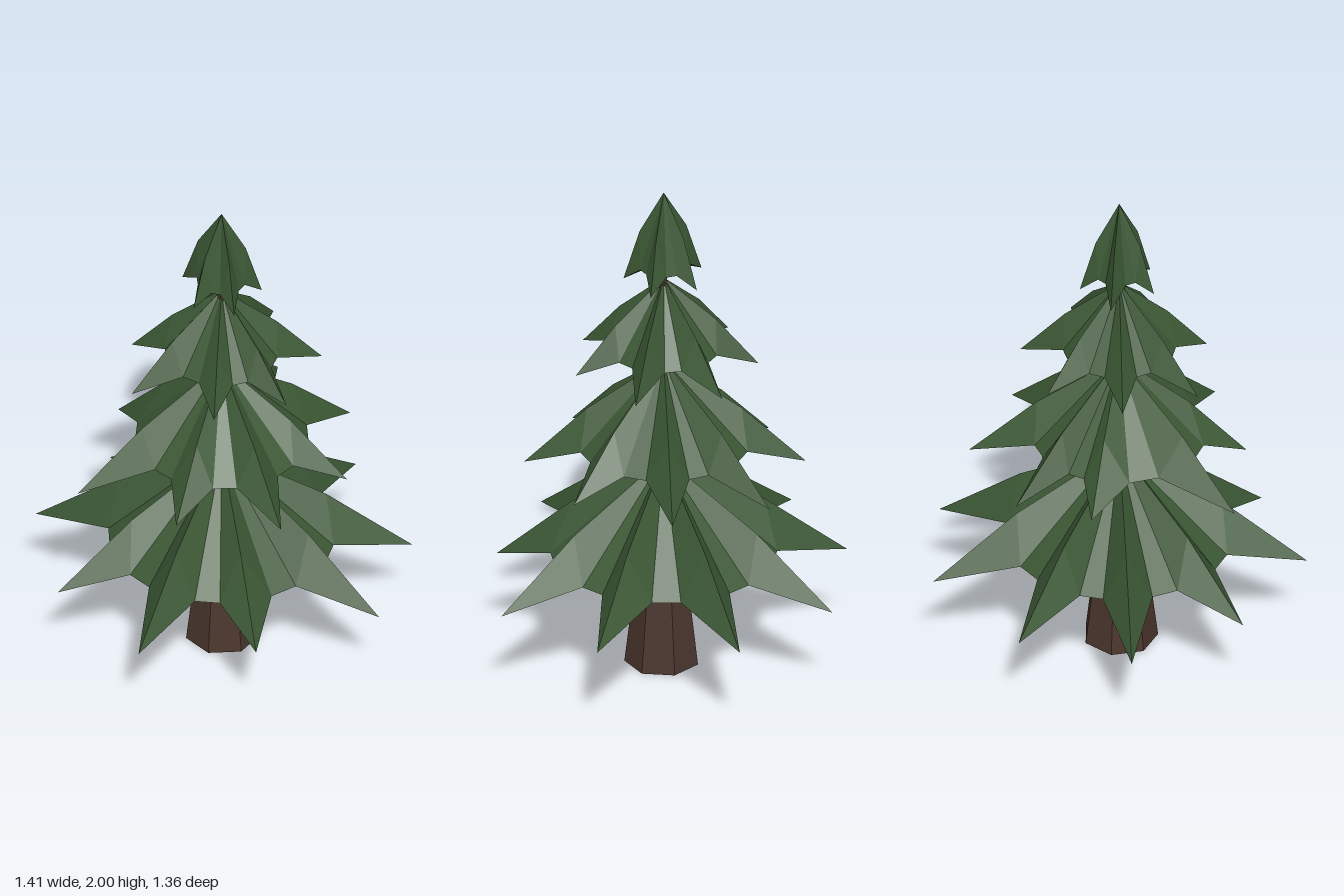
import * as THREE from 'three';

const CX = -0.018, CZ = 0.042; // trunk axis

// Each tier: heights, shoulder reach, rim radius, and branch tips [x, z] running from front to left, round the back
const TIERS = [
  { name: 'bottomBranches', apex: 0.865, shoulder: 0.64, valley: 0.465, tip: 0.385, hub: 0.51, rim: 0.43, reach: 0.55,
    tips: [[0.07, 0.68], [0.55, 0.495], [0.705, 0.055], [0.525, -0.455], [0.105, -0.68], [-0.4, -0.56],
      [-0.705, -0.23], [-0.655, 0.26], [-0.375, 0.66]] },
  { name: 'lowerMiddleBranches', apex: 1.285, shoulder: 1.08, valley: 0.935, tip: 0.855, hub: 0.97, rim: 0.33, reach: 0.55,
    tips: [[0.175, 0.535], [0.445, 0.24], [0.485, -0.17], [0.23, -0.47], [-0.185, -0.47], [-0.39, -0.25],
      [-0.58, 0.26], [-0.22, 0.48]] },
  { name: 'upperMiddleBranches', apex: 1.635, shoulder: 1.465, valley: 1.34, tip: 1.28, hub: 1.37, rim: 0.215, reach: 0.55,
    tips: [[0.21, 0.315], [0.365, 0.02], [0.2, -0.27], [-0.115, -0.305], [-0.35, -0.1], [-0.37, 0.205], [-0.07, 0.385]] },
  { name: 'topBranches', apex: 2, shoulder: 1.83, valley: 1.685, tip: 1.625, hub: 1.705, rim: 0.095, reach: 0.6,
    tips: [[0.02, 0.19], [0.135, 0.04], [0.02, -0.105], [-0.16, -0.06], [-0.13, 0.135]] },
];

// Star-shaped skirt of drooping branches, with a hollow underside
function tierGeometry(t) {
  const pos = [];
  const tri = (...corners) => corners.forEach((p) => pos.push(...p));
  const n = t.tips.length;
  const angle = t.tips.map(([x, z]) => Math.atan2(x - CX, z - CZ));
  const apex = [CX, t.apex, CZ], hub = [CX, t.hub, CZ];

  // Rim corner in the gap after branch i, at fraction f of the way to the next
  const rimPoint = (i, f) => {
    const a = angle[i];
    let gap = angle[(i + 1) % n] - a;
    if (gap < 0) gap += Math.PI * 2;
    const th = a + gap * f;
    return [CX + Math.sin(th) * t.rim, t.valley, CZ + Math.cos(th) * t.rim];
  };

  t.tips.forEach(([x, z], i) => {
    const tip = [x, t.tip, z];
    const shoulder = [CX + (x - CX) * t.reach, t.shoulder, CZ + (z - CZ) * t.reach];
    const before = rimPoint((i + n - 1) % n, 0.67);
    const after = rimPoint(i, 0.33);
    const next = rimPoint(i, 0.67);
    // upper faces
    tri(apex, before, shoulder);
    tri(apex, shoulder, after);
    tri(before, tip, shoulder);
    tri(shoulder, tip, after);
    tri(apex, after, next);
    // underside
    tri(hub, tip, before);
    tri(hub, after, tip);
    tri(hub, next, after);
  });

  const g = new THREE.BufferGeometry();
  g.setAttribute('position', new THREE.Float32BufferAttribute(pos, 3));
  g.computeVertexNormals();
  return g;
}

export function createModel() {
  const needles = new THREE.MeshStandardMaterial({ color: 0x3b5734, flatShading: true });
  needles.name = 'needle green';
  const bark = new THREE.MeshStandardMaterial({ color: 0x4a352d, flatShading: true, side: THREE.DoubleSide });
  bark.name = 'bark brown';

  const tree = new THREE.Group();
  tree.name = 'pineTree';

  // Seven-sided trunk, open at the base, thinning quickly and then gently
  const profile = [[0.144, 0], [0.09, 0.46], [0.058, 0.82], [0.036, 1.25], [0.02, 1.62], [0.012, 1.8]]
    .map(([r, y]) => new THREE.Vector2(r, y));
  const trunk = new THREE.Mesh(new THREE.LatheGeometry(profile, 7, Math.PI / 7), bark);
  trunk.name = 'trunk';
  trunk.position.set(CX + 0.003, 0, CZ + 0.005);
  tree.add(trunk);

  for (const t of TIERS) {
    const mesh = new THREE.Mesh(tierGeometry(t), needles);
    mesh.name = t.name;
    tree.add(mesh);
  }
  return tree;
}
